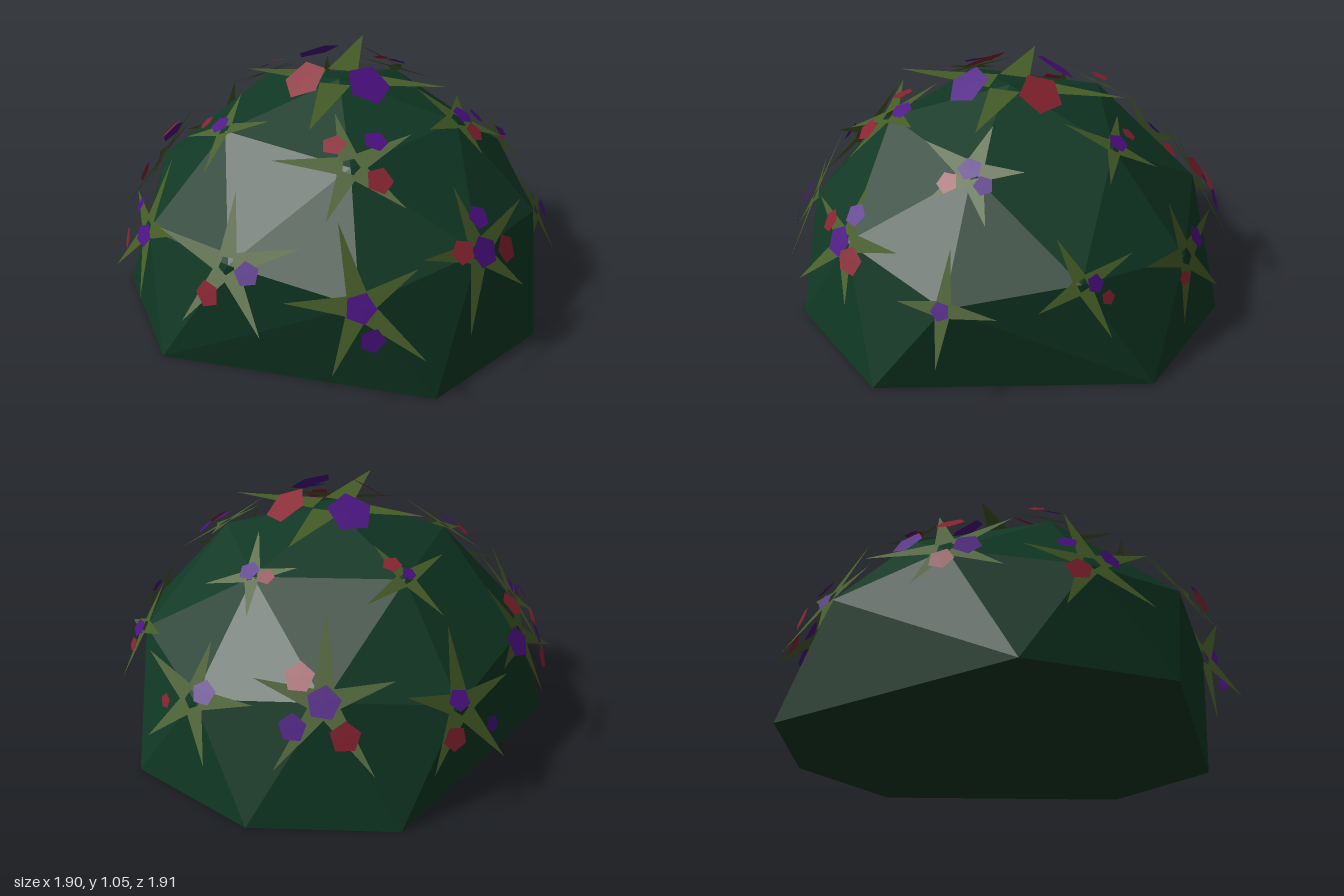
import * as THREE from 'three';
import { ConvexGeometry } from 'three/addons/geometries/ConvexGeometry.js';

const R = 0.95, Z0 = -0.03, DEG = Math.PI / 180;

const mat = (name, color, side = THREE.FrontSide) => {
  const m = new THREE.MeshStandardMaterial({ color, side, flatShading: true });
  m.name = name;
  return m;
};

// Unit direction from azimuth (0 = back, 90 = +x) and elevation
const dir = (az, el) => new THREE.Vector3(
  Math.cos(el * DEG) * Math.sin(az * DEG),
  Math.sin(el * DEG),
  -Math.cos(el * DEG) * Math.cos(az * DEG));

// Elevations of the dome's rings
const TOP = 58.28, MID = 31.72, LOW = 26.57;

export function createModel() {
  const bush = new THREE.Group();
  bush.name = 'floweringBush';
  const green = mat('bushGreen', 0x103824);
  const leaf = mat('leafGreen', 0x445c26, THREE.DoubleSide);
  const colours = {
    p: mat('petalPurple', 0x4b0f82, THREE.DoubleSide),
    r: mat('petalRed', 0x86222f, THREE.DoubleSide),
  };

  // Faceted dome: half of a subdivided icosahedron with a seven-sided base
  const pts = [dir(0, 90)];
  for (let k = 0; k < 5; k++) {
    pts.push(dir(18 + 72 * k, TOP), dir(18 + 72 * k, LOW), dir(54 + 72 * k, MID));
  }
  for (const az of [0, 36, 108, 144, 216, 252, 324]) pts.push(dir(az, 0));
  pts.forEach((p) => { p.multiplyScalar(R); p.z += Z0; p.y = Math.max(0, p.y); });
  const dome = new THREE.Mesh(new ConvexGeometry(pts), green);
  dome.name = 'dome';
  bush.add(dome);

  // Flat star of separate pointed leaves
  function starGeometry(count, length, turn, inner, half) {
    const pos = [];
    for (let i = 0; i < count; i++) {
      const a = (turn + (360 * i) / count) * DEG;
      const c = Math.cos(a), s = Math.sin(a);
      const l = length * (1 + 0.12 * Math.sin(i * 2.4 + turn));
      pos.push(
        inner * c + half * s, inner * s - half * c, 0,
        l * c, l * s, 0,
        inner * c - half * s, inner * s + half * c, 0);
    }
    const g = new THREE.BufferGeometry();
    g.setAttribute('position', new THREE.Float32BufferAttribute(pos, 3));
    g.computeVertexNormals();
    return g;
  }

  // One cluster: leaves in the tangent plane, pentagon blossoms tilted outward
  function cluster(az, el, star, blossoms, tilt = 0.25, lift = 0.03) {
    const group = new THREE.Group();
    group.name = 'cluster';
    const n = dir(az, el), up = dir(az, el + 90);
    group.matrix.makeBasis(new THREE.Vector3().crossVectors(up, n), up, n);
    group.quaternion.setFromRotationMatrix(group.matrix);
    group.position.copy(n).multiplyScalar(R + 0.008);
    group.position.z += Z0;
    const leaves = new THREE.Mesh(starGeometry(...star), leaf);
    leaves.name = 'leaves';
    group.add(leaves);
    blossoms.forEach(([x, y, colour, radius], i) => {
      const b = new THREE.Mesh(new THREE.CircleGeometry(radius, 5), colours[colour]);
      b.name = 'blossom';
      b.position.set(x, y, lift);
      const d = Math.hypot(x, y) || 1;
      b.quaternion.setFromAxisAngle(new THREE.Vector3(-y / d, x / d, 0), tilt);
      b.rotateZ(i * 1.3 + az);
      group.add(b);
    });
    bush.add(group);
  }

  const big = (turn, length = 0.29) => [5, length, turn, 0.03, 0.04];
  const small = (turn, length = 0.21) => [4, length, turn, 0.02, 0.03];

  // Crown cluster
  cluster(180, 90, [4, 0.45, 0, 0.07, 0.065],
    [[-0.13, 0.16, 'p', 0.095], [0.14, 0.17, 'r', 0.095],
      [-0.11, -0.14, 'r', 0.095], [0.15, -0.13, 'p', 0.095]], 0.6, 0.04);

  // Upper ring
  cluster(162, TOP, big(28, 0.27),
    [[0.1, 0.09, 'p', 0.05], [-0.06, 0.08, 'r', 0.05], [0.1, -0.08, 'r', 0.055]]);
  cluster(90, TOP, big(10, 0.22),
    [[0, 0, 'p', 0.05], [-0.07, -0.07, 'r', 0.045], [0.07, -0.06, 'p', 0.04]]);
  cluster(18, TOP, small(30), [[0, 0, 'p', 0.045], [0.085, 0, 'r', 0.035]]);
  cluster(306, TOP, small(15), [[-0.045, 0.06, 'r', 0.04], [0, 0, 'p', 0.03]]);
  cluster(234, TOP, small(45), [[0, 0, 'p', 0.045], [-0.08, -0.04, 'r', 0.035]]);

  // Front
  cluster(198, MID, big(28, 0.31), [[0.11, 0, 'p', 0.05], [-0.03, -0.12, 'r', 0.055]]);
  cluster(162, LOW, big(30), [[0, 0, 'p', 0.062], [0.04, -0.12, 'p', 0.05]]);

  // +x side
  cluster(126, MID, big(20),
    [[0, 0, 'p', 0.065], [0.03, 0.13, 'p', 0.05], [0.11, -0.03, 'r', 0.06], [-0.1, 0.04, 'r', 0.05]]);
  cluster(90, LOW, small(0), [[0, 0, 'p', 0.04]]);
  cluster(54, MID, small(20), [[0.04, 0, 'p', 0.038], [0.08, -0.06, 'r', 0.03]]);

  // Back
  cluster(18, LOW, big(15, 0.27), [[0.07, 0.05, 'p', 0.05], [-0.1, -0.04, 'r', 0.03]]);
  cluster(342, MID, big(18, 0.3),
    [[0, 0, 'p', 0.068], [-0.09, 0.09, 'r', 0.06], [-0.11, -0.09, 'p', 0.055], [0.08, -0.12, 'r', 0.06]]);

  // -x side
  cluster(306, LOW, big(12, 0.27),
    [[-0.02, 0.03, 'p', 0.045], [-0.08, -0.1, 'r', 0.05], [0.1, -0.1, 'p', 0.035]]);
  cluster(270, MID, big(35),
    [[-0.14, 0.02, 'p', 0.065], [0, 0.13, 'r', 0.058], [0.1, -0.06, 'p', 0.055], [0.02, -0.14, 'r', 0.05]]);
  cluster(234, LOW, big(25),
    [[0.06, 0, 'p', 0.05], [-0.08, -0.1, 'r', 0.05], [-0.09, 0.06, 'p', 0.04]]);

  return bush;
}
